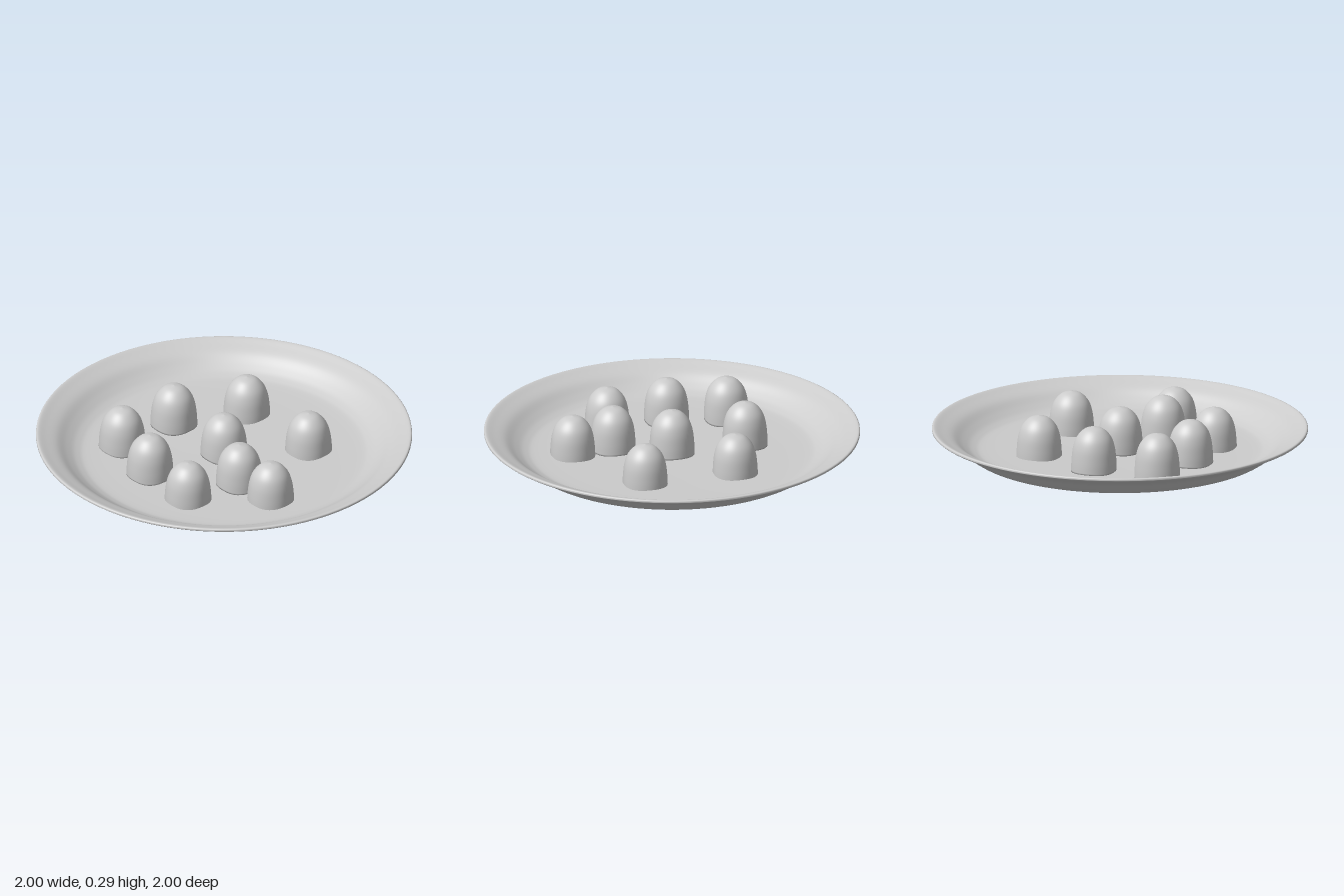
import * as THREE from 'three';

const material = new THREE.MeshStandardMaterial({ color: 0xcccccc });

// Smooth spline through a few [radius, height] points
function smoothProfile(points, steps) {
  const curve = new THREE.SplineCurve(points.map(([r, y]) => new THREE.Vector2(r, y)));
  return curve.getPoints(steps).map(p => new THREE.Vector2(Math.max(p.x, 0), p.y));
}

// Dish: underside from the centre outwards, rolled rim, then back in to the centre
function createDish() {
  const underside = smoothProfile([
    [0, 0], [0.12, 0.003], [0.4, 0.009], [0.66, 0.018], [0.76, 0.033], [0.82, 0.063],
    [0.88, 0.11], [0.94, 0.14], [0.985, 0.158], [1, 0.168],
  ], 45);
  const inside = smoothProfile([
    [1, 0.168], [0.998, 0.178], [0.985, 0.18], [0.95, 0.166], [0.89, 0.14], [0.835, 0.1],
    [0.78, 0.07], [0.7, 0.057], [0.4, 0.051], [0, 0.048],
  ], 45);
  const geometry = new THREE.LatheGeometry([...underside, ...inside.slice(1)], 96);
  const dish = new THREE.Mesh(geometry, material);
  dish.name = 'dish';
  return dish;
}

// Rounded dome: a softly squared base blending into a round top
function createDomeGeometry() {
  const height = 0.24;
  const profile = smoothProfile([
    [0.116, 0], [0.115, 0.06], [0.108, 0.13], [0.089, 0.185], [0.05, 0.226], [0, height],
  ], 24);
  const geometry = new THREE.LatheGeometry([new THREE.Vector2(0, 0), ...profile], 48);
  const position = geometry.attributes.position;
  for (let i = 0; i < position.count; i++) {
    const x = position.getX(i), z = position.getZ(i), r = Math.hypot(x, z);
    if (r < 1e-6) continue;
    const power = 2 + 0.6 * (1 - position.getY(i) / height);
    const squared = Math.pow(Math.abs(x / r) ** power + Math.abs(z / r) ** power, -1 / power);
    position.setX(i, x * squared);
    position.setZ(i, z * squared);
  }
  return geometry;
}

export function createModel() {
  const model = new THREE.Group();
  model.name = 'dishWithDomes';
  model.add(createDish());

  // Domes scattered on the dish floor: [x, base height, z]
  const high = 0.052, low = 0.033;
  const places = [
    [0, high, 0], [0, high, -0.405], [-0.36, high, -0.41], [-0.435, high, -0.1], [-0.14, high, 0.285],
    [0.37, low, -0.24], [0.37, low, 0.26], [-0.45, low, 0.225], [-0.12, low, 0.515],
  ];
  const domes = new THREE.Group();
  domes.name = 'domes';
  const geometry = createDomeGeometry();
  places.forEach(([x, y, z], i) => {
    const dome = new THREE.Mesh(geometry, material);
    dome.name = `dome${i + 1}`;
    dome.position.set(x, y, z);
    domes.add(dome);
  });
  model.add(domes);
  return model;
}
